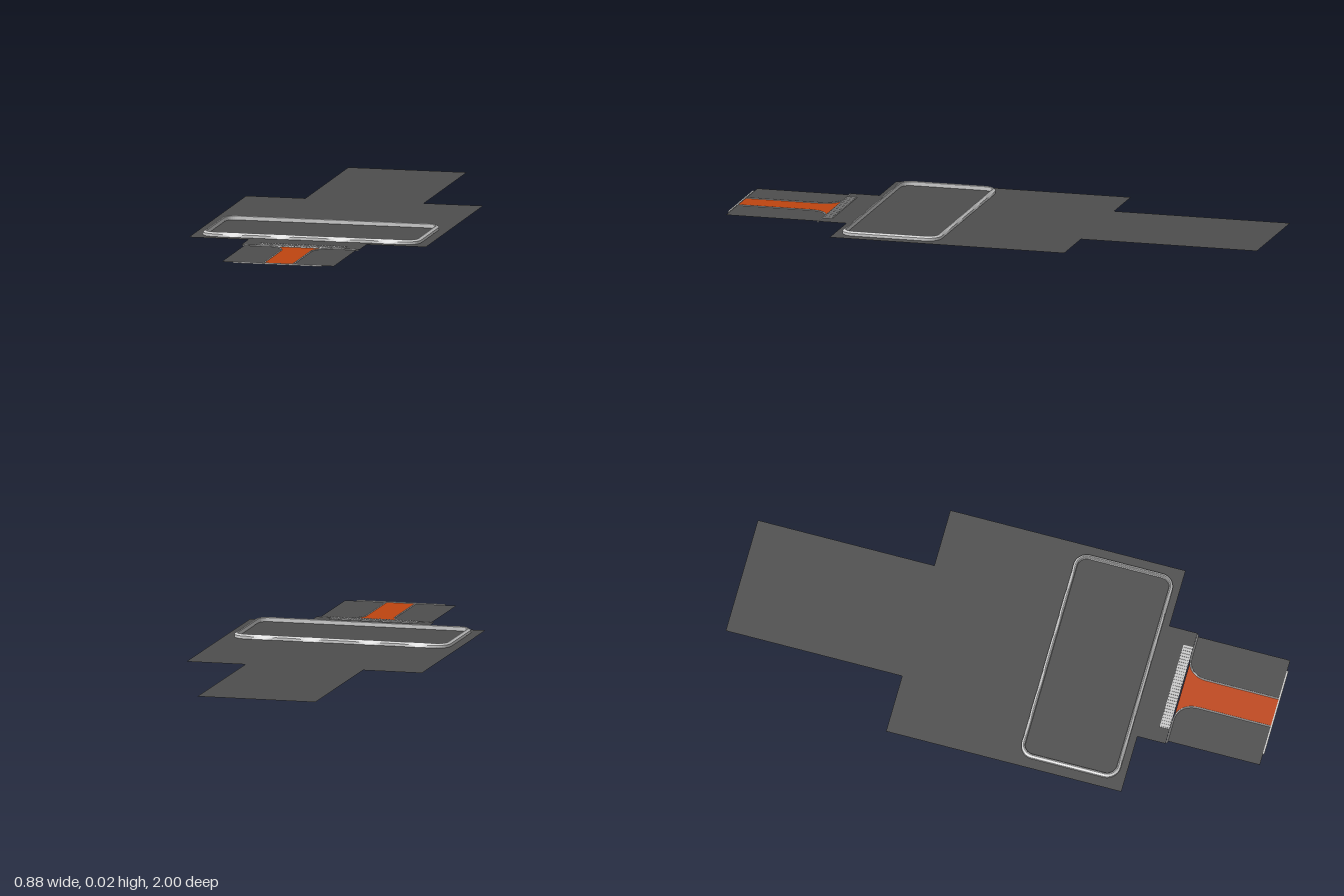
import * as THREE from 'three';

const grey = new THREE.MeshStandardMaterial({ color: 0xcccccc, side: THREE.DoubleSide });
const dark = new THREE.MeshStandardMaterial({ color: 0x4d4d4d, side: THREE.DoubleSide });
const orange = new THREE.MeshStandardMaterial({ color: 0xbf4510, side: THREE.DoubleSide });

function add(group, name, geometry, material, x = 0, y = 0, z = 0) {
  const mesh = new THREE.Mesh(geometry, material);
  mesh.name = name;
  mesh.position.set(x, y, z);
  group.add(mesh);
  return mesh;
}

// Flat sheet facing up; the shape is drawn with its y axis as z
function sheet(shape) {
  const geo = new THREE.ShapeGeometry(shape, 12);
  geo.scale(1, -1, 1);
  const index = geo.getIndex();
  for (let i = 0; i < index.count; i += 3) {
    const a = index.getX(i);
    index.setX(i, index.getX(i + 1));
    index.setX(i + 1, a);
  }
  return geo.rotateX(-Math.PI / 2);
}

const polygon = (points) => new THREE.Shape(points.map(([x, z]) => new THREE.Vector2(x, z)));

// Chamfered frame: a small cross-section swept round a rounded rectangle
function frameGeometry(hx, hz, radius) {
  // inset from the outer edge, height
  const section = [[0, 0.005], [0, 0.015], [0.008, 0.021], [0.012, 0.021], [0.014, 0.019], [0.014, 0.005]];
  const path = [];
  const corners = [[1, 1], [-1, 1], [-1, -1], [1, -1]];
  corners.forEach(([sx, sz], c) => {
    for (let i = 0; i <= 8; i++) {
      const a = (c + i / 8) * Math.PI / 2;
      const nx = Math.cos(a), nz = Math.sin(a);
      path.push([sx * (hx - radius) + nx * radius, sz * (hz - radius) + nz * radius, nx, nz]);
    }
    // Extra stations along the long sides carry the shallow finger scallops
    if (c % 2 === 0) {
      for (let i = 1; i < 60; i++) {
        path.push([sx * (hx - radius) * (1 - i / 30), sz * hz, 0, sz]);
      }
    }
  });
  const scallop = (x) => {
    const d = Math.min(Math.abs(Math.abs(x) - 0.29), Math.abs(Math.abs(x) - 0.11));
    return d < 0.05 ? 0.004 * (1 - (d / 0.05) ** 2) : 0;
  };
  const positions = [], indices = [];
  const n = path.length, m = section.length;
  for (const [x, z, nx, nz] of path) {
    const dip = Math.abs(nz) === 1 ? scallop(x) : 0;
    section.forEach(([inset, y], k) => {
      const d = inset + (k === 1 || k === 2 ? dip * 0.8 : 0);
      positions.push(x - nx * d, y - (k === 1 ? dip : 0), z - nz * d);
    });
  }
  for (let i = 0; i < n; i++) {
    for (let k = 0; k < m; k++) {
      const a = i * m + k, b = i * m + (k + 1) % m;
      const c = ((i + 1) % n) * m + k, d = ((i + 1) % n) * m + (k + 1) % m;
      indices.push(a, b, c, c, b, d);
    }
  }
  const geo = new THREE.BufferGeometry();
  geo.setAttribute('position', new THREE.Float32BufferAttribute(positions, 3));
  geo.setIndex(indices);
  const flat = geo.toNonIndexed();
  flat.computeVertexNormals();
  return flat;
}

export function createModel() {
  const model = new THREE.Group();
  model.name = 'panelAssembly';

  // Main cross-shaped sheet
  add(model, 'mainSheet', sheet(polygon([
    [-0.22, -1], [0.22, -1], [0.22, -0.34], [0.44, -0.34], [0.44, 0.54], [0.22, 0.54],
    [0.22, 0.645], [-0.22, 0.645], [-0.22, 0.54], [-0.44, 0.54], [-0.44, -0.34], [-0.22, -0.34],
  ])), dark, 0, 0.004, 0);

  // Raised rounded frame
  add(model, 'raisedFrame', frameGeometry(0.404, 0.185, 0.05), grey, 0, 0, 0.329);

  // Comb connector
  const connector = new THREE.Group();
  connector.name = 'connector';
  model.add(connector);
  add(connector, 'connectorBar', new THREE.BoxGeometry(0.326, 0.005, 0.036), grey, 0, 0.0035, 0.626);
  const tooth = new THREE.BoxGeometry(0.006, 0.002, 0.036);
  for (let i = 0; i < 28; i++) {
    add(connector, 'connectorTooth', tooth, grey, -0.157 + i * 0.314 / 27, 0.007, 0.626);
  }

  // Front strip: flared coloured band between two dark sheets
  const z0 = 0.648, z1 = 0.995, w = 0.055, flare = 0.125, half = 0.208;
  const bend = 0.725;
  const band = new THREE.Shape();
  band.moveTo(-flare, z0);
  band.lineTo(flare, z0);
  band.bezierCurveTo(0.08, z0, w, 0.68, w, bend);
  band.lineTo(w, z1);
  band.lineTo(-w, z1);
  band.lineTo(-w, bend);
  band.bezierCurveTo(-w, 0.68, -0.08, z0, -flare, z0);
  add(model, 'flaredBand', sheet(band), orange, 0, 0.002, 0);

  for (const s of [1, -1]) {
    const side = new THREE.Shape();
    side.moveTo(s * half, z0);
    side.lineTo(s * half, z1);
    side.lineTo(s * w, z1);
    side.lineTo(s * w, bend);
    side.bezierCurveTo(s * w, 0.68, s * 0.08, z0, s * flare, z0);
    add(model, s > 0 ? 'leftStripSheet' : 'rightStripSheet', sheet(side), dark, 0, 0.002, 0);

    // Thin border following the flare
    const edge = new THREE.CurvePath();
    const v = (x, z) => new THREE.Vector3(s * x, 0.002, z);
    edge.add(new THREE.LineCurve3(v(0.215, z0), v(flare, z0)));
    edge.add(new THREE.CubicBezierCurve3(v(flare, z0), v(0.08, z0), v(w, 0.68), v(w, bend)));
    edge.add(new THREE.LineCurve3(v(w, bend), v(w, z1)));
    add(model, s > 0 ? 'leftBorder' : 'rightBorder', new THREE.TubeGeometry(edge, 80, 0.003, 6), grey);
  }

  // Bar closing the front end
  add(model, 'frontBar', new THREE.BoxGeometry(0.33, 0.005, 0.006), grey, 0, 0.0025, 0.997);

  return model;
}
